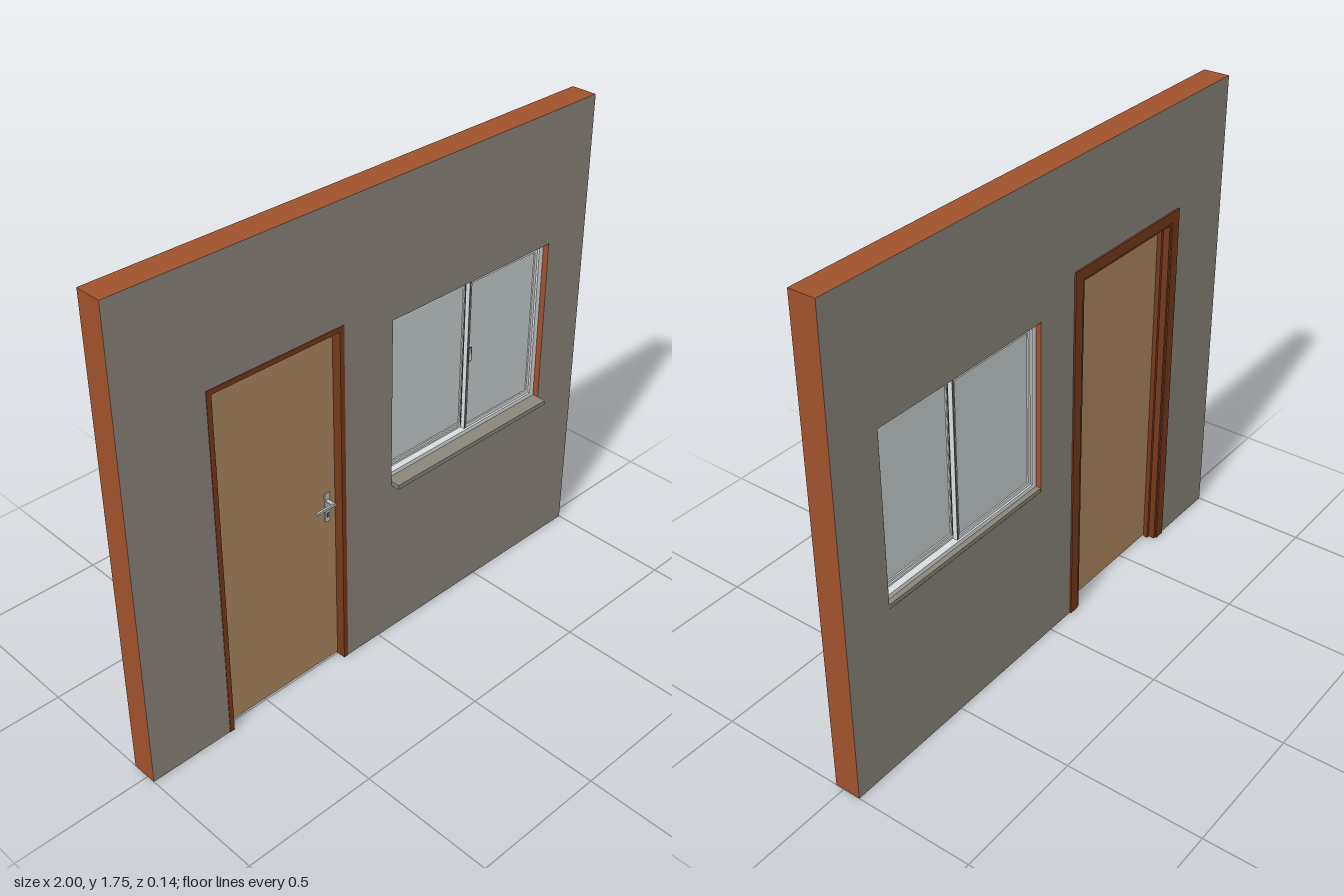
import * as THREE from 'three';

const mat = (name, color, extra = {}) => Object.assign(new THREE.MeshStandardMaterial({ color, ...extra }), { name });

export function createModel() {
  const model = new THREE.Group();
  model.name = 'wallWithDoorAndWindow';

  const plaster = mat('grey plaster', 0x8b867c);
  const brick = mat('red brick', 0xa0522d);
  const darkWood = mat('dark frame wood', 0x763a1c);
  const doorWood = mat('light door wood', 0xae8960);
  const aluminium = mat('white aluminium', 0xdadedf);
  const glass = mat('pale glass', 0xc8d0d0);
  const gasket = mat('dark grey gasket', 0x565a5c);
  const steel = mat('brushed steel', 0xb9bcbd);

  // Box given by its limits on each axis
  function box(parent, name, material, x0, x1, y0, y1, z0, z1) {
    const mesh = new THREE.Mesh(new THREE.BoxGeometry(x1 - x0, y1 - y0, z1 - z0), material);
    mesh.position.set((x0 + x1) / 2, (y0 + y1) / 2, (z0 + z1) / 2);
    mesh.name = name;
    parent.add(mesh);
    return mesh;
  }
  function group(name) {
    const g = new THREE.Group();
    g.name = name;
    model.add(g);
    return g;
  }
  const rect = (path, x0, x1, y0, y1) =>
    path.moveTo(x0, y0).lineTo(x1, y0).lineTo(x1, y1).lineTo(x0, y1).closePath();

  function extrude(parent, name, material, shape, z0, z1) {
    const geo = new THREE.ExtrudeGeometry(shape, { depth: z1 - z0, bevelEnabled: false });
    const mesh = new THREE.Mesh(geo, material);
    mesh.position.z = z0;
    mesh.name = name;
    parent.add(mesh);
    return mesh;
  }
  // Closed rectangular frame of border width w (vertical) and h (horizontal)
  function ring(parent, name, material, x0, x1, y0, y1, w, h, z0, z1) {
    const s = rect(new THREE.Shape(), x0, x1, y0, y1);
    s.holes.push(rect(new THREE.Path(), x0 + w, x1 - w, y0 + h, y1 - h));
    return extrude(parent, name, material, s, z0, z1);
  }
  // Door surround open at the floor
  function arch(parent, name, material, x0, x1, top, w, z0, z1) {
    const s = new THREE.Shape();
    s.moveTo(x0, 0).lineTo(x0 + w, 0).lineTo(x0 + w, top - w).lineTo(x1 - w, top - w)
      .lineTo(x1 - w, 0).lineTo(x1, 0).lineTo(x1, top).lineTo(x0, top).closePath();
    return extrude(parent, name, material, s, z0, z1);
  }

  // Wall: plastered faces, brick edges and reveals
  const outline = new THREE.Shape();
  outline.moveTo(-1, 0).lineTo(-0.685, 0).lineTo(-0.685, 1.335).lineTo(-0.15, 1.335)
    .lineTo(-0.15, 0).lineTo(1, 0).lineTo(1, 1.75).lineTo(-1, 1.75).closePath();
  outline.holes.push(rect(new THREE.Path(), 0.06, 0.81, 0.63, 1.27));
  extrude(model, 'wall', [plaster, brick], outline, -0.065, 0.032);

  // Door frame: jambs, stop and wider trim at the back
  const door = group('door');
  arch(door, 'doorFrame', darkWood, -0.685, -0.15, 1.335, 0.018, -0.066, 0.034);
  arch(door, 'doorStop', darkWood, -0.668, -0.167, 1.318, 0.012, -0.042, -0.025);
  arch(door, 'backTrim', darkWood, -0.717, -0.115, 1.367, 0.04, -0.071, -0.0645);
  box(door, 'doorLeaf', doorWood, -0.665, -0.169, 0.008, 1.316, -0.025, 0);

  // Hinges
  for (const y of [0.13, 0.63, 1.16]) {
    const hinge = new THREE.Mesh(new THREE.CylinderGeometry(0.004, 0.004, 0.055, 10), aluminium);
    hinge.position.set(-0.664, y, 0.003);
    hinge.name = 'hinge';
    door.add(hinge);
  }

  // Lever handle
  box(door, 'handlePlate', steel, -0.216, -0.195, 0.604, 0.718, 0, 0.004);
  const neck = new THREE.Mesh(new THREE.CylinderGeometry(0.006, 0.006, 0.036, 12), steel);
  neck.rotation.x = Math.PI / 2;
  neck.position.set(-0.205, 0.688, 0.02);
  neck.name = 'handleNeck';
  door.add(neck);
  box(door, 'handleLever', steel, -0.282, -0.199, 0.683, 0.692, 0.031, 0.039);
  box(door, 'keyhole', gasket, -0.209, -0.202, 0.622, 0.638, 0.003, 0.006);

  // Window sill and plastered head
  const win = group('window');
  box(win, 'sill', plaster, 0.06, 0.81, 0.628, 0.645, -0.064, 0.066);
  box(win, 'headLining', plaster, 0.061, 0.809, 1.265, 1.27, -0.064, 0.031);

  // Outer frame with sliding tracks
  ring(win, 'windowFrame', aluminium, 0.061, 0.809, 0.645, 1.265, 0.02, 0.016, -0.045, 0.01);
  box(win, 'bottomTrack', aluminium, 0.081, 0.789, 0.66, 0.668, -0.02, -0.015);
  box(win, 'topTrack', aluminium, 0.081, 0.789, 1.242, 1.25, -0.02, -0.015);

  // Two sliding sashes, the right one in front
  const sashes = [
    { x0: 0.081, x1: 0.46, z: -0.03, stile: 0.452 },
    { x0: 0.448, x1: 0.789, z: -0.006, stile: 0.448 },
  ];
  for (const { x0, x1, z, stile } of sashes) {
    ring(win, 'sashFrame', aluminium, x0, x1, 0.661, 1.249, 0.012, 0.014, z - 0.008, z + 0.008);
    box(win, 'pane', glass, x0 + 0.011, x1 - 0.011, 0.674, 1.236, z - 0.003, z + 0.003);
    box(win, 'meetingStrip', gasket, stile, stile + 0.008, 0.662, 1.248, z - 0.009, z + 0.009);
  }
  ring(win, 'sashLatch', gasket, 0.452, 0.466, 0.935, 0.988, 0.002, 0.002, 0.002, 0.007);
  box(win, 'sashLatchGrip', aluminium, 0.454, 0.464, 0.937, 0.986, 0.002, 0.006);

  return model;
}
